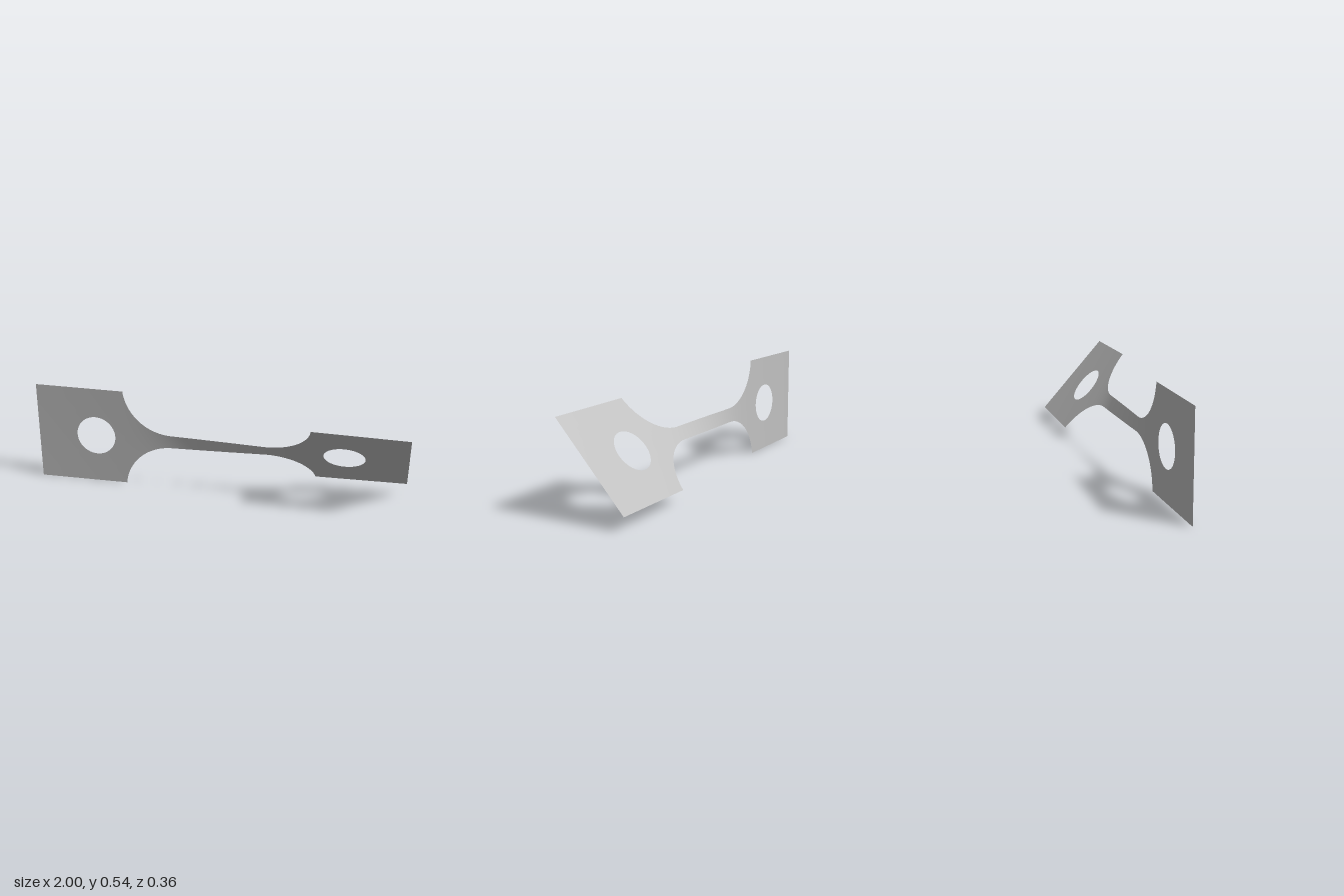
import * as THREE from 'three';
import { mergeGeometries, mergeVertices } from 'three/addons/utils/BufferGeometryUtils.js';

const HALF = 0.271, NECK = 0.0375;          // half widths of grip and gauge
const FILLET_X = 0.25, FILLET_END = 0.51, R = 0.262;
const HOLE_X = 0.672, HOLE_R = 0.108;
const TWIST = THREE.MathUtils.degToRad(42.1);

// Half width of the flat strip along its length
function halfWidth(x) {
  const d = Math.abs(x);
  if (d >= FILLET_END) return HALF;
  if (d <= FILLET_X) return NECK;
  const u = Math.min(d - FILLET_X, R);
  return Math.min(HALF, NECK + R - Math.sqrt(R * R - u * u));
}

// Accumulated twist: narrow sections turn faster than wide ones
const STEPS = 1000;
const twistTable = [0];
for (let i = 0; i < STEPS; i++) {
  const x = -1 + (2 * (i + 0.5)) / STEPS;
  twistTable.push(twistTable[i] + Math.pow(halfWidth(x), -1.4));
}
function twistAt(x) {
  const f = THREE.MathUtils.clamp((x + 1) / 2, 0, 1) * STEPS;
  const i = Math.min(Math.floor(f), STEPS - 1);
  const t = THREE.MathUtils.lerp(twistTable[i], twistTable[i + 1], f - i);
  return (TWIST * t) / twistTable[STEPS];
}

// Twisted patch between two edge functions, with columns packed towards its ends
function patch(x0, x1, lower, upper, columns, rows = 8) {
  const g = new THREE.PlaneGeometry(1, 1, columns, rows);
  const p = g.attributes.position;
  for (let i = 0; i < p.count; i++) {
    const s = (1 - Math.cos(Math.PI * (p.getX(i) + 0.5))) / 2;
    const x = THREE.MathUtils.lerp(x0, x1, s);
    const v = THREE.MathUtils.lerp(lower(x), upper(x), p.getY(i) + 0.5);
    const a = twistAt(x);
    p.setXYZ(i, x, HALF + v * Math.cos(a), v * Math.sin(a));
  }
  g.deleteAttribute('uv');
  g.deleteAttribute('normal');
  return g;
}

export function createModel() {
  const group = new THREE.Group();
  group.name = 'twistedTensileSpecimen';
  const metal = new THREE.MeshStandardMaterial({ color: 0xc0c0c0, side: THREE.DoubleSide });
  metal.name = 'grey metal';

  const top = halfWidth;
  const bottom = (x) => -halfWidth(x);
  const patches = [patch(-FILLET_X, FILLET_X, bottom, top, 40)];

  for (const side of [-1, 1]) {
    const span = (a, b, lo, hi, n) =>
      patches.push(side > 0 ? patch(a, b, lo, hi, n) : patch(-b, -a, lo, hi, n));
    const hole = (x) => Math.sqrt(Math.max(0, HOLE_R ** 2 - (Math.abs(x) - HOLE_X) ** 2));
    // Fillet, then the grip in front of, around and behind its hole
    span(FILLET_X, FILLET_END, bottom, top, 32);
    span(FILLET_END, HOLE_X - HOLE_R, () => -HALF, () => HALF, 4);
    span(HOLE_X - HOLE_R, HOLE_X + HOLE_R, hole, () => HALF, 32);
    span(HOLE_X - HOLE_R, HOLE_X + HOLE_R, () => -HALF, (x) => -hole(x), 32);
    span(HOLE_X + HOLE_R, 1, () => -HALF, () => HALF, 8);
  }

  // One continuous smooth sheet
  const sheet = mergeVertices(mergeGeometries(patches), 1e-5);
  sheet.computeVertexNormals();
  const mesh = new THREE.Mesh(sheet, metal);
  mesh.name = 'twistedStrip';
  group.add(mesh);
  return group;
}
